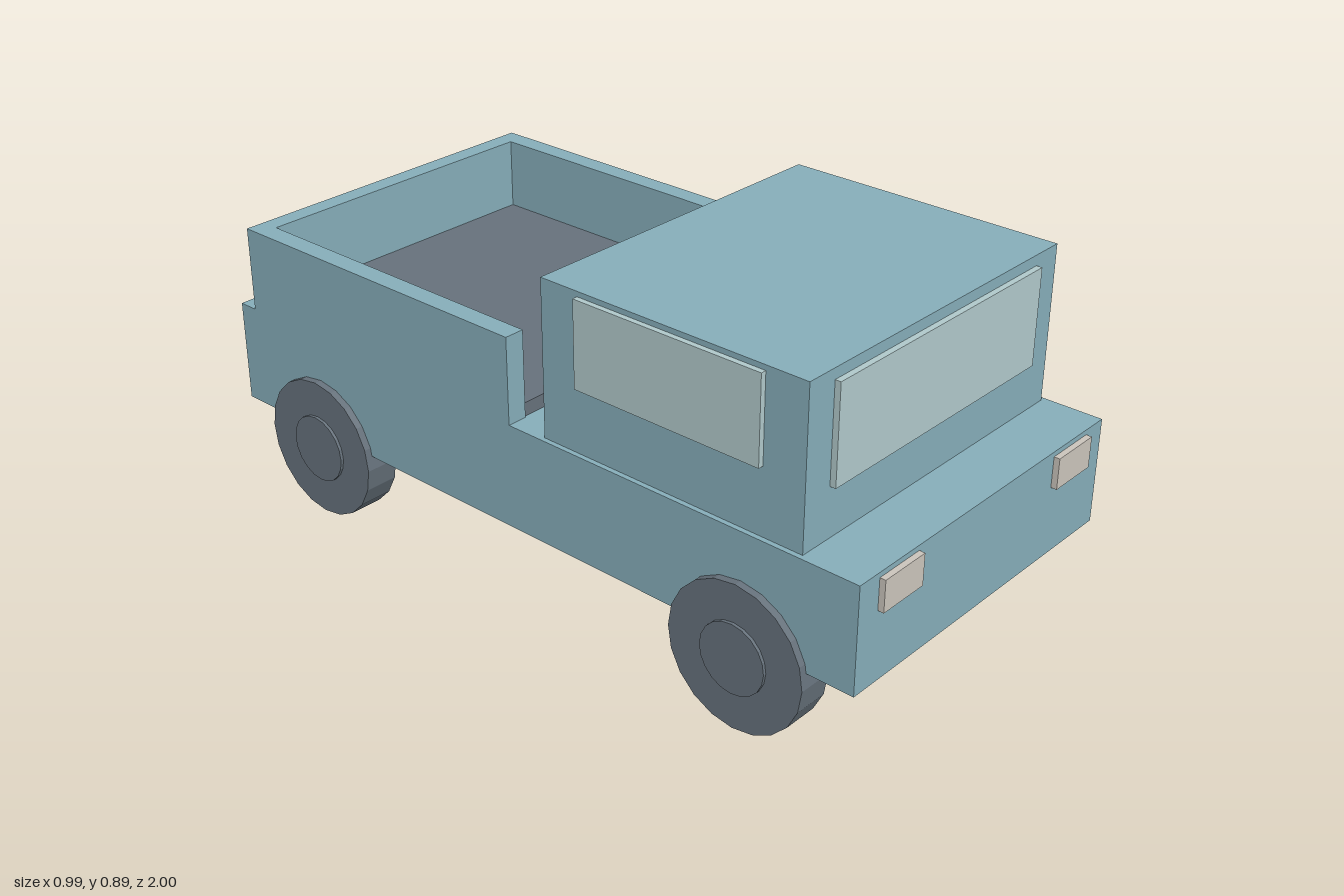
import * as THREE from 'three';

const material = (name, color) => {
  const m = new THREE.MeshStandardMaterial({ color, flatShading: true });
  m.name = name;
  return m;
};

export function createModel() {
  const truck = new THREE.Group();
  truck.name = 'pickupTruck';
  const paint = material('bluePaint', 0x86adb9);
  const dark = material('darkGrey', 0x66717b);
  const glass = material('paleGlass', 0xb0c8ca);
  const lamp = material('warmLamp', 0xcac4bb);

  // Box given by its minimum and maximum corners
  const box = (name, mat, [x0, y0, z0], [x1, y1, z1]) => {
    const mesh = new THREE.Mesh(new THREE.BoxGeometry(x1 - x0, y1 - y0, z1 - z0), mat);
    mesh.position.set((x0 + x1) / 2, (y0 + y1) / 2, (z0 + z1) / 2);
    mesh.name = name;
    truck.add(mesh);
  };
  // Disc lying across the truck, from x0 to x1
  const disc = (name, radius, x0, x1, y, z) => {
    const geometry = new THREE.CylinderGeometry(radius, radius, Math.abs(x1 - x0), 20).rotateZ(Math.PI / 2);
    const mesh = new THREE.Mesh(geometry, dark);
    mesh.position.set((x0 + x1) / 2, y, z);
    mesh.name = name;
    truck.add(mesh);
  };

  // Lower body and cab
  box('lowerBody', paint, [-0.468, 0.222, -1], [0.468, 0.495, 0.985]);
  box('cab', paint, [-0.455, 0.495, 0.09], [0.455, 0.895, 0.83]);
  box('windshield', glass, [-0.372, 0.622, 0.83], [0.372, 0.868, 0.845]);

  // Cargo bed, open towards the cab
  box('bedFloor', dark, [-0.44, 0.48, -0.946], [0.44, 0.53, -0.016]);
  box('tailgate', paint, [-0.468, 0.495, -0.945], [0.468, 0.72, -0.895]);

  for (const side of [-1, 1]) {
    const mirrored = (name, mat, a, b, y0, y1, z0, z1) => {
      const [x0, x1] = side > 0 ? [a, b] : [-b, -a];
      box(name, mat, [x0, y0, z0], [x1, y1, z1]);
    };
    mirrored('bedSide', paint, 0.415, 0.468, 0.495, 0.72, -0.895, -0.012);
    mirrored('sideWindow', glass, 0.455, 0.469, 0.663, 0.882, 0.2, 0.72);
    mirrored('headlight', lamp, 0.262, 0.4, 0.402, 0.482, 0.985, 1);

    // Wheels with raised hubs
    for (const z of [0.68, -0.697]) {
      disc('wheel', 0.187, side * 0.396, side * 0.487, 0.187, z);
      disc('hub', 0.09, side * 0.487, side * 0.495, 0.187, z);
    }
  }
  return truck;
}
